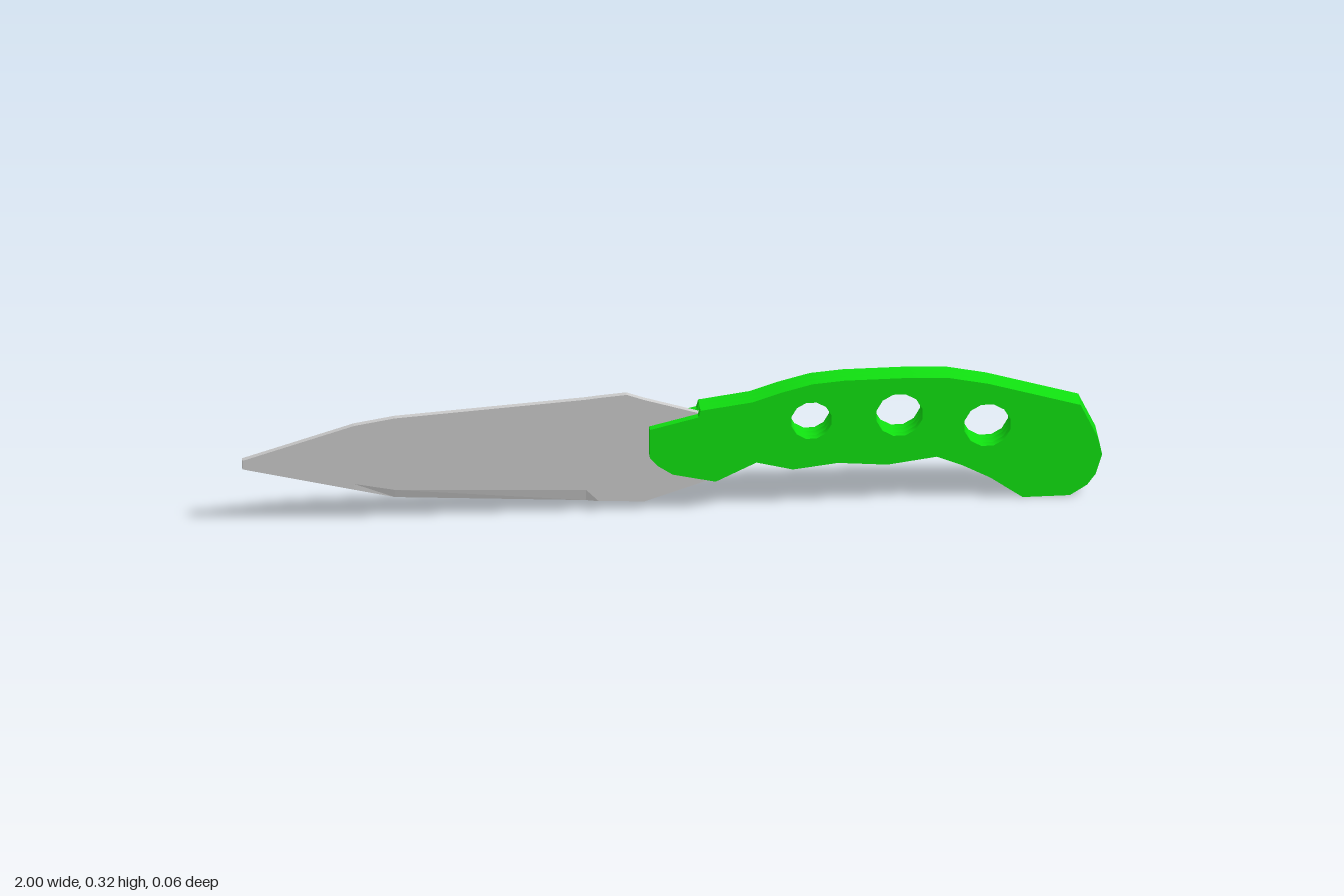
import * as THREE from 'three';
import { toCreasedNormals } from 'three/addons/utils/BufferGeometryUtils.js';

const green = new THREE.MeshStandardMaterial({ color: 0x10e010 });
const steel = new THREE.MeshStandardMaterial({ color: 0xcccccc, flatShading: true });

// Handle outline, starting after the step behind the slot and running clockwise
const rearOutline = [
  [0.065, 0.262], [0.185, 0.278], [0.25, 0.299], [0.325, 0.318], [0.4, 0.324], [0.54, 0.324],
  [0.64, 0.32], [0.735, 0.3], [0.95, 0.235], [0.99, 0.15], [1.0, 0.105], [0.985, 0.055],
  [0.965, 0.028], [0.925, 0.003], [0.815, 0.003], [0.74, 0.057], [0.675, 0.092], [0.615, 0.117],
  [0.5, 0.102], [0.385, 0.112], [0.28, 0.1], [0.195, 0.122], [0.1, 0.077],
];
const frontOutline = [[0.0, 0.1], [-0.035, 0.124], [-0.053, 0.145], [-0.053, 0.218], [0.06, 0.245]];
const holes = [[0.323, 0.224, 0.048], [0.528, 0.229, 0.055], [0.733, 0.193, 0.055]];

// Flat slab of the handle between z0 and z1, pierced by the three holes
function slab(name, points, z0, z1) {
  const shape = new THREE.Shape(points.map(([x, y]) => new THREE.Vector2(x, y)));
  for (const [cx, cy, r] of holes) {
    const ring = [];
    for (let i = 0; i < 12; i++) {
      const a = (i + 0.5) * Math.PI / 6;
      ring.push(new THREE.Vector2(cx + r * Math.cos(a), cy + r * Math.sin(a)));
    }
    shape.holes.push(new THREE.Path(ring));
  }
  const geo = new THREE.ExtrudeGeometry(shape, { depth: z1 - z0, bevelEnabled: false });
  geo.translate(0, 0, z0);
  const mesh = new THREE.Mesh(toCreasedNormals(geo, 0.6), green);
  mesh.name = name;
  return mesh;
}

// Blade lofted through sections: x, spine y, bevel y, edge y, half thickness of the edge
function bladeGeometry() {
  const t = 0.007;
  const stations = [
    [-1.0, 0.172, 0.16, 0.15, t],
    [-0.74, 0.25, 0.1, 0.085, t],
    [-0.645, 0.265, 0.08, 0.059, 0.002],
    [-0.2, 0.292, 0.059, 0.03, 0.002],
    [-0.17, 0.295, 0.05, 0.028, t],
    [-0.105, 0.3, 0.045, 0.025, t],
    [-0.065, 0.285, 0.043, 0.022, t],
    [0.065, 0.244, 0.085, 0.064, t],
    [0.1, 0.23, 0.095, 0.077, t],
  ];
  const pos = [], idx = [];
  for (const [x, top, bevel, edge, e] of stations) {
    pos.push(x, top, t, x, bevel, t, x, edge, e, x, edge, -e, x, bevel, -t, x, top, -t);
  }
  const last = (stations.length - 1) * 6;
  for (let i = 0; i < last; i += 6) {
    for (let j = 0; j < 6; j++) {
      const k = (j + 1) % 6;
      idx.push(i + j, i + k, i + 6 + k, i + j, i + 6 + k, i + 6 + j);
    }
  }
  for (let k = 1; k < 5; k++) {
    idx.push(0, k + 1, k, last, last + k, last + k + 1);
  }
  const geo = new THREE.BufferGeometry();
  geo.setAttribute('position', new THREE.Float32BufferAttribute(pos, 3));
  geo.setIndex(idx);
  geo.computeVertexNormals();
  return geo;
}

export function createModel() {
  const model = new THREE.Group();
  model.name = 'knife';

  // Two outer scales with a shorter core between them, leaving a slot for the blade
  const handle = new THREE.Group();
  handle.name = 'handle';
  const full = [...rearOutline, ...frontOutline];
  handle.add(
    slab('frontScale', full, 0.011, 0.03),
    slab('backScale', full, -0.03, -0.011),
    slab('handleCore', rearOutline, -0.011, 0.011),
  );

  const blade = new THREE.Mesh(bladeGeometry(), steel);
  blade.name = 'blade';
  model.add(handle, blade);
  return model;
}
